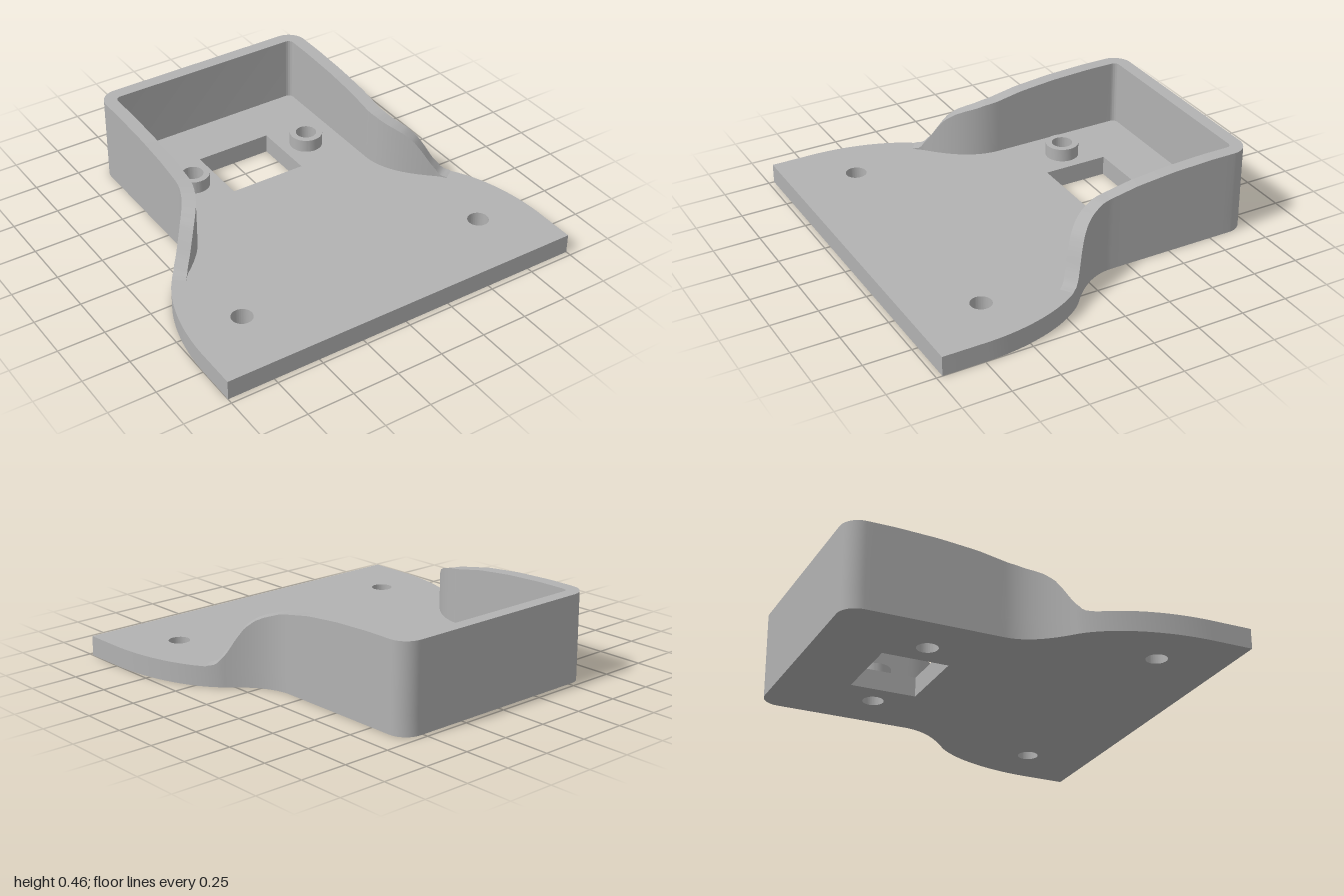
import * as THREE from 'three';
import { toCreasedNormals } from 'three/addons/utils/BufferGeometryUtils.js';

const PLATE = 0.105, WALL = 0.07;
const V = (x, z) => new THREE.Vector2(x, z);

// Half outline in (x, z): flared front, waist, straight side, rounded back corner
function halfOutline() {
  const curves = [
    [new THREE.LineCurve(V(1, 0.97), V(1, 0.75)), 1],
    [new THREE.CubicBezierCurve(V(1, 0.75), V(1, 0.5), V(0.92, 0.26), V(0.8, 0.14)), 28],
    [new THREE.CubicBezierCurve(V(0.8, 0.14), V(0.7, 0.055), V(0.617, -0.04), V(0.617, -0.16)), 24],
    [new THREE.LineCurve(V(0.617, -0.16), V(0.617, -0.87)), 16],
    [new THREE.EllipseCurve(0.517, -0.87, 0.1, 0.1, 0, -Math.PI / 2, true), 12],
  ];
  const pts = [V(1, 0.97)];
  for (const [curve, n] of curves) pts.push(...curve.getPoints(n).slice(1));
  return pts;
}

// Rim height along the wall, by z of its outer edge
const RIM = [[0.21, 0.105], [0.16, 0.117], [0.125, 0.17], [0.09, 0.25], [0.06, 0.305], [0.02, 0.345],
  [-0.02, 0.366], [-0.1, 0.395], [-0.3, 0.432], [-0.5, 0.451], [-0.72, 0.46], [-0.98, 0.46]];
function rimHeight(z) {
  if (z >= RIM[0][0]) return PLATE;
  const i = RIM.findIndex(([rz]) => rz <= z);
  const [z0, h0] = RIM[i - 1], [z1, h1] = RIM[i];
  return h0 + (h1 - h0) * (z - z0) / (z1 - z0);
}

// Flat shape drawn in (x, -z), raised from y0 by the given height
function slab(shape, y0, height) {
  const geo = new THREE.ExtrudeGeometry(shape, { depth: height, bevelEnabled: false, curveSegments: 32 });
  geo.rotateX(-Math.PI / 2).translate(0, y0, 0);
  return toCreasedNormals(geo, 0.6);
}

function circle(type, x, z, r) {
  const c = new type();
  c.absarc(x, -z, r, 0, Math.PI * 2, false);
  return c;
}

// Wall swept along the outline with a thickness inward and a varying rim
function wallGeometry(path) {
  const rings = [];
  path.forEach((p, i) => {
    if (p.y > 0.215) return;
    const t = path[i + 1].clone().sub(path[i - 1]).normalize();
    const ix = p.x + t.y * WALL, iz = p.y - t.x * WALL, h = rimHeight(p.y);
    rings.push([[p.x, PLATE, p.y], [p.x, h, p.y], [ix, h, iz], [ix, PLATE, iz]]);
  });
  const pos = [];
  for (let i = 0; i < rings.length - 1; i++) {
    for (let k = 0; k < 3; k++) {
      const a = rings[i][k], b = rings[i + 1][k], c = rings[i + 1][k + 1], d = rings[i][k + 1];
      pos.push(...a, ...b, ...c, ...a, ...c, ...d);
    }
  }
  const geo = new THREE.BufferGeometry();
  geo.setAttribute('position', new THREE.Float32BufferAttribute(pos, 3));
  return toCreasedNormals(geo, 0.6);
}

export function createModel() {
  const group = new THREE.Group();
  group.name = 'mountingBracket';
  const grey = new THREE.MeshStandardMaterial({ color: 0xb2b2b2 });
  grey.name = 'grey';
  const add = (name, geo) => {
    const mesh = new THREE.Mesh(geo, grey);
    mesh.name = name;
    group.add(mesh);
  };

  const half = halfOutline();
  const path = [...half, ...half.map(p => V(-p.x, p.y)).reverse()];

  // Base plate with the rectangular window and four round holes
  const plate = new THREE.Shape(path.map(p => V(p.x, -p.y)));
  plate.holes.push(new THREE.Path([V(-0.21, 0.27), V(-0.21, 0.62), V(0.21, 0.62), V(0.21, 0.27)]));
  for (const s of [-1, 1]) {
    plate.holes.push(circle(THREE.Path, s * 0.353, -0.444, 0.055));
    plate.holes.push(circle(THREE.Path, s * 0.705, 0.615, 0.055));
  }
  add('basePlate', slab(plate, 0, PLATE));

  // Surrounding wall, open at the front
  add('wall', wallGeometry(path));

  // Hollow screw bosses
  for (const s of [-1, 1]) {
    const ring = circle(THREE.Shape, s * 0.353, -0.444, 0.088);
    ring.holes.push(circle(THREE.Path, s * 0.353, -0.444, 0.055));
    add(s > 0 ? 'leftBoss' : 'rightBoss', slab(ring, PLATE, 0.07));
  }
  return group;
}
